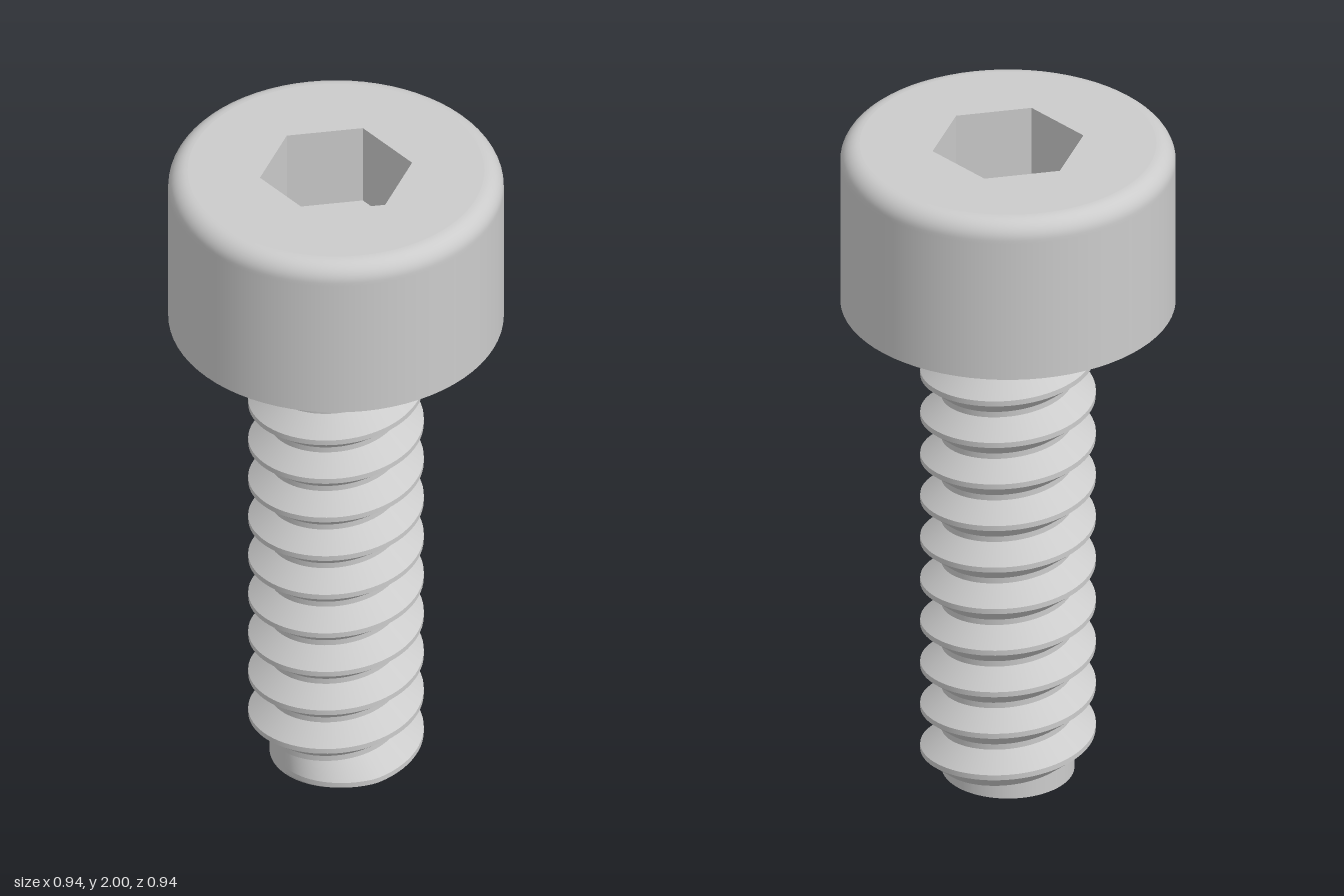
import * as THREE from 'three';

const SEG = 72;
const HEAD_R = 0.472, HEAD_Y = 1.5, TOP = 2, FILLET = 0.055;
const HEX_R = 0.217, HEX_DEPTH = 0.25;
const ROOT = 0.187, CREST = 0.247, PITCH = 0.1333;

const grey = new THREE.MeshStandardMaterial({ color: 0xcccccc });
const inner = new THREE.MeshStandardMaterial({ color: 0xcccccc, flatShading: true, side: THREE.BackSide });

function add(group, name, geometry, material = grey) {
  const mesh = new THREE.Mesh(geometry, material);
  mesh.name = name;
  group.add(mesh);
  return mesh;
}

// Horizontal face: up or down, at height y
function flat(geometry, y, up) {
  return geometry.rotateX(up ? -Math.PI / 2 : Math.PI / 2).translate(0, y, 0);
}

// One helical ribbon between two profile points [radius, height offset]
function ribbon(lower, upper) {
  const start = -Math.PI / 2, end = 2 * Math.PI * 11.4;
  const steps = Math.ceil((end - start) / (2 * Math.PI) * SEG);
  const pos = [], index = [];
  for (let i = 0; i <= steps; i++) {
    const a = start + (end - start) * i / steps;
    const y = 0.05 + PITCH * a / (2 * Math.PI);
    const grow = Math.min(1, (a - start) / 1.35); // thread fades in at the tip
    for (const [r, dy] of [lower, upper]) {
      const rad = ROOT + (r - ROOT) * grow;
      pos.push(rad * Math.cos(a), THREE.MathUtils.clamp(y + dy, 0, HEAD_Y + 0.005), -rad * Math.sin(a));
    }
    if (i < steps) {
      const k = i * 2;
      index.push(k, k + 2, k + 1, k + 1, k + 2, k + 3);
    }
  }
  const g = new THREE.BufferGeometry();
  g.setAttribute('position', new THREE.Float32BufferAttribute(pos, 3));
  g.setIndex(index);
  g.computeVertexNormals();
  return g;
}

function makeHead() {
  const head = new THREE.Group();
  head.name = 'head';

  // Side wall with rounded top edge
  const profile = [new THREE.Vector2(HEAD_R, HEAD_Y), new THREE.Vector2(HEAD_R, TOP - FILLET - 0.01)];
  for (let i = 0; i <= 10; i++) {
    const t = i / 10 * Math.PI / 2;
    profile.push(new THREE.Vector2(HEAD_R - FILLET + FILLET * Math.cos(t), TOP - FILLET + FILLET * Math.sin(t)));
  }
  add(head, 'headWall', new THREE.LatheGeometry(profile, SEG));
  add(head, 'headUnderside', flat(new THREE.CircleGeometry(HEAD_R, SEG), HEAD_Y, false));

  // Top face with a hexagonal opening
  const disc = new THREE.Shape().absarc(0, 0, HEAD_R - FILLET, 0, Math.PI * 2);
  const corners = Array.from({ length: 6 }, (_, i) =>
    new THREE.Vector2(HEX_R * Math.cos(i * Math.PI / 3), HEX_R * Math.sin(i * Math.PI / 3)));
  disc.holes.push(new THREE.Path(corners));
  add(head, 'headTop', flat(new THREE.ShapeGeometry(disc, SEG), TOP, true));

  // Hex socket
  const walls = new THREE.CylinderGeometry(HEX_R, HEX_R, HEX_DEPTH, 6, 1, true, Math.PI / 6);
  add(head, 'socketWalls', walls.translate(0, TOP - HEX_DEPTH / 2, 0), inner);
  add(head, 'socketFloor', flat(new THREE.CircleGeometry(HEX_R, 6), TOP - HEX_DEPTH, true));
  return head;
}

function makeShank() {
  const shank = new THREE.Group();
  shank.name = 'shank';
  add(shank, 'core', new THREE.CylinderGeometry(ROOT, ROOT, HEAD_Y, SEG, 1, true).translate(0, HEAD_Y / 2, 0));
  add(shank, 'tip', flat(new THREE.CircleGeometry(ROOT, SEG), 0, false));

  // Right-handed thread: lower flank, narrow crest, upper flank
  const base = 0.058, land = 0.008;
  const points = [[ROOT, -base], [CREST, -land], [CREST, land], [ROOT, base]];
  ['threadLowerFlank', 'threadCrest', 'threadUpperFlank'].forEach((name, i) =>
    add(shank, name, ribbon(points[i], points[i + 1])));
  return shank;
}

export function createModel() {
  const model = new THREE.Group();
  model.name = 'socketScrew';
  model.add(makeHead(), makeShank());
  return model;
}
